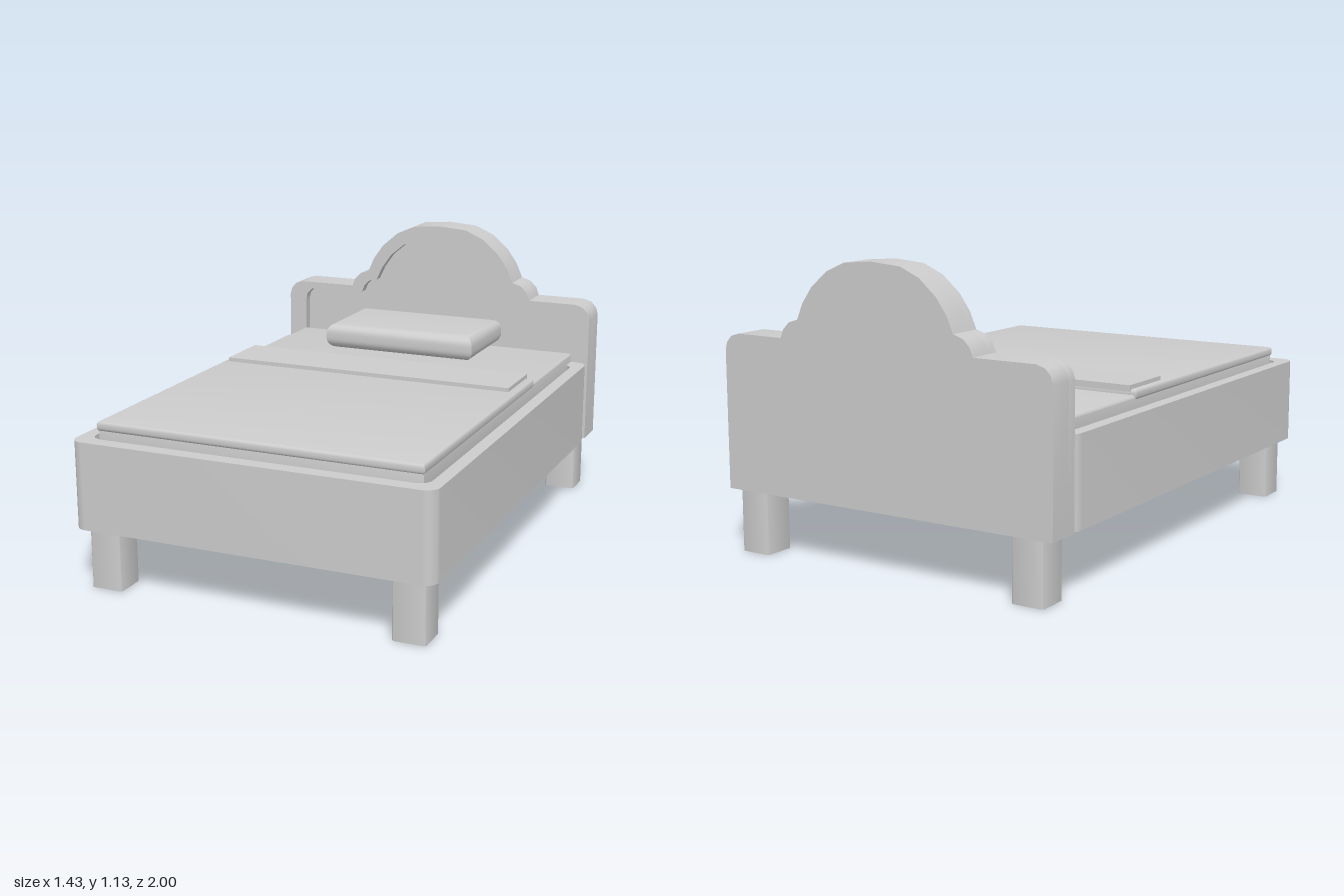
import * as THREE from 'three';
import { toCreasedNormals } from 'three/addons/utils/BufferGeometryUtils.js';

const material = new THREE.MeshStandardMaterial({ color: 0xcccccc });

function addMesh(parent, name, geometry) {
  const mesh = new THREE.Mesh(toCreasedNormals(geometry, 0.6), material);
  mesh.name = name;
  parent.add(mesh);
  return mesh;
}

// Rectangle with rounded corners, centred on the origin
function roundedRect(w, d, r, PathType = THREE.Shape) {
  const p = new PathType();
  const x = w / 2 - r, y = d / 2 - r;
  p.absarc(x, y, r, 0, Math.PI / 2);
  p.absarc(-x, y, r, Math.PI / 2, Math.PI);
  p.absarc(-x, -y, r, Math.PI, Math.PI * 1.5);
  p.absarc(x, -y, r, Math.PI * 1.5, Math.PI * 2);
  p.closePath();
  return p;
}

// Plan shape raised from y0 to y1, with an optional rounded edge
function slab(shape, y0, y1, bevel = 0, segments = 3) {
  const g = new THREE.ExtrudeGeometry(shape, {
    depth: y1 - y0 - 2 * bevel, curveSegments: 5,
    bevelEnabled: bevel > 0, bevelThickness: bevel, bevelSize: bevel,
    bevelOffset: -bevel, bevelSegments: segments,
  });
  return g.rotateX(-Math.PI / 2).translate(0, y0 + bevel, 0);
}

// Rectangular soft piece given by its x and z limits
function cushion(x0, x1, z0, z1, y0, y1, bevel, segments) {
  const w = (x1 - x0) / 2, d = (z1 - z0) / 2;
  const shape = new THREE.Shape([[-w, -d], [w, -d], [w, d], [-w, d]]
    .map(([x, y]) => new THREE.Vector2(x, y)));
  return slab(shape, y0, y1, bevel, segments).translate((x0 + x1) / 2, 0, (z0 + z1) / 2);
}

// Left half of a profile mirrored about the arch centre, the shoulders about x = 0
function archOutline(shoulder, arch) {
  const cx = 0.022;
  const left = [...shoulder, ...arch];
  const right = [
    ...shoulder.map(([x, y]) => [-x, y]),
    ...arch.map(([x, y]) => [2 * cx - x, y]),
  ].reverse();
  return [...left, [cx, arch.at(-1)[1] + 0.01], ...right]
    .map(([x, y]) => new THREE.Vector2(x, y));
}

export function createModel() {
  const bed = new THREE.Group();
  bed.name = 'bed';

  // Headboard: back panel plus a raised rim, open at the bottom
  const headboard = new THREE.Group();
  headboard.name = 'headboard';
  bed.add(headboard);
  const outer = archOutline(
    [[-0.715, 0.24], [-0.715, 0.77], [-0.707, 0.8], [-0.685, 0.824], [-0.65, 0.835]],
    [[-0.4, 0.835], [-0.387, 0.868], [-0.36, 0.895], [-0.32, 0.908], [-0.293, 0.97],
      [-0.25, 1.03], [-0.18, 1.09], [-0.1, 1.125]]);
  const inner = archOutline(
    [[-0.635, 0.24], [-0.635, 0.75], [-0.628, 0.78], [-0.605, 0.803], [-0.57, 0.811]],
    [[-0.352, 0.811], [-0.34, 0.84], [-0.315, 0.865], [-0.28, 0.873], [-0.253, 0.93],
      [-0.21, 0.99], [-0.15, 1.04], [-0.08, 1.066]]);
  const board = (points, depth, z) => new THREE.ExtrudeGeometry(new THREE.Shape(points),
    { depth, bevelEnabled: false }).translate(0, 0, z);
  addMesh(headboard, 'headboardPanel', board(outer, 0.1, -1));
  addMesh(headboard, 'headboardRim', board([...outer, ...inner.reverse()], 0.04, -0.9));

  // Rails: an open ring around the mattress
  const ring = roundedRect(1.43, 1.86, 0.05);
  ring.holes.push(roundedRect(1.33, 1.74, 0.05, THREE.Path));
  addMesh(bed, 'railFrame', slab(ring, 0.24, 0.58)).position.z = 0.07;

  // Legs with softened corners
  for (const x of [-0.607, 0.607]) {
    for (const [name, z, top] of [['frontLeg', 0.895, 0.3], ['backLeg', -0.925, 0.26]]) {
      addMesh(bed, name, slab(roundedRect(0.13, 0.13, 0.014), 0, top)).position.set(x, 0, z);
    }
  }

  // Bedding
  addMesh(bed, 'mattress', cushion(-0.64, 0.64, -0.858, 0.913, 0.49, 0.62, 0.012, 3));
  addMesh(bed, 'blanket', cushion(-0.645, 0.645, -0.3, 0.92, 0.603, 0.641, 0.012, 3));
  addMesh(bed, 'blanketFold', cushion(-0.62, 0.615, -0.305, -0.065, 0.632, 0.657, 0));
  addMesh(bed, 'pillow', cushion(-0.33, 0.335, -0.81, -0.42, 0.648, 0.755, 0.042, 6));

  return bed;
}
